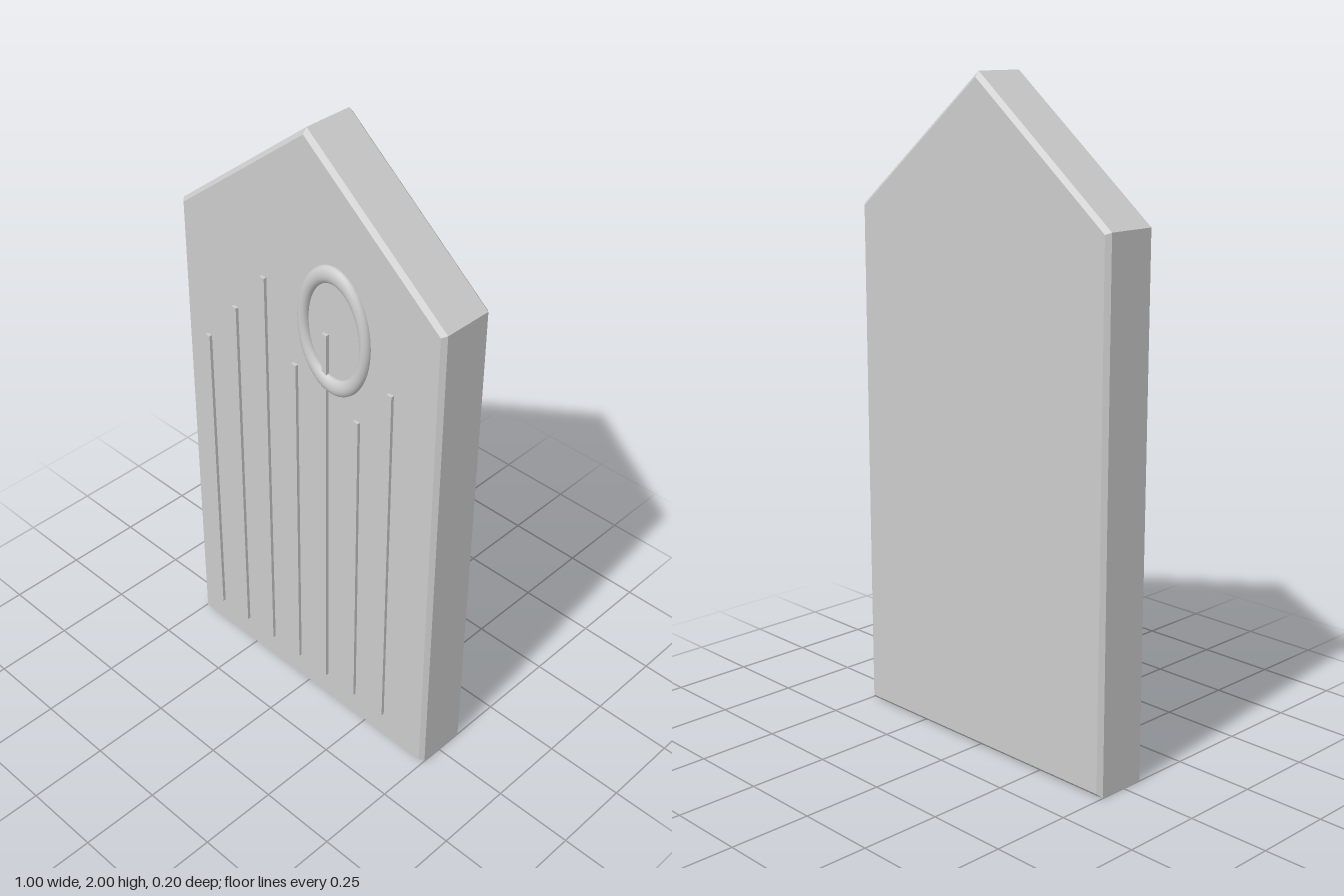
import * as THREE from 'three';

export function createModel() {
  const group = new THREE.Group();
  const material = new THREE.MeshStandardMaterial({ color: 0xcccccc });
  const add = (name, geometry, x, y, z) => {
    const mesh = new THREE.Mesh(geometry, material);
    mesh.name = name;
    mesh.position.set(x, y, z);
    group.add(mesh);
    return mesh;
  };

  // Gabled slab with a single chamfer around the front and back faces
  const outline = new THREE.Shape([
    [-0.5, 0], [0.5, 0], [0.5, 1.6], [0, 2], [-0.5, 1.6],
  ].map(([x, y]) => new THREE.Vector2(x, y)));
  const back = -0.101, front = 0.081, bevel = 0.013;
  add('slab', new THREE.ExtrudeGeometry(outline, {
    depth: front - back - 2 * bevel,
    bevelThickness: bevel,
    bevelSize: bevel,
    bevelOffset: -bevel,
    bevelSegments: 1,
  }), 0, 0, back + bevel);

  // Thin raised bars of varied height, evenly spaced
  const bottom = 0.1;
  [1.18, 1.335, 1.49, 1.255, 1.415, 1.18, 1.335].forEach((top, i) => {
    add('bar' + (i + 1), new THREE.BoxGeometry(0.018, top - bottom, 0.02),
      -0.402 + i * 0.1215, (top + bottom) / 2, 0.081);
  });

  // Oval ring half sunk into the front face
  const ring = add('ovalRing', new THREE.TorusGeometry(0.117, 0.0175, 16, 64), 0.115, 1.435, 0.083);
  ring.scale.y = 1.53;

  return group;
}
